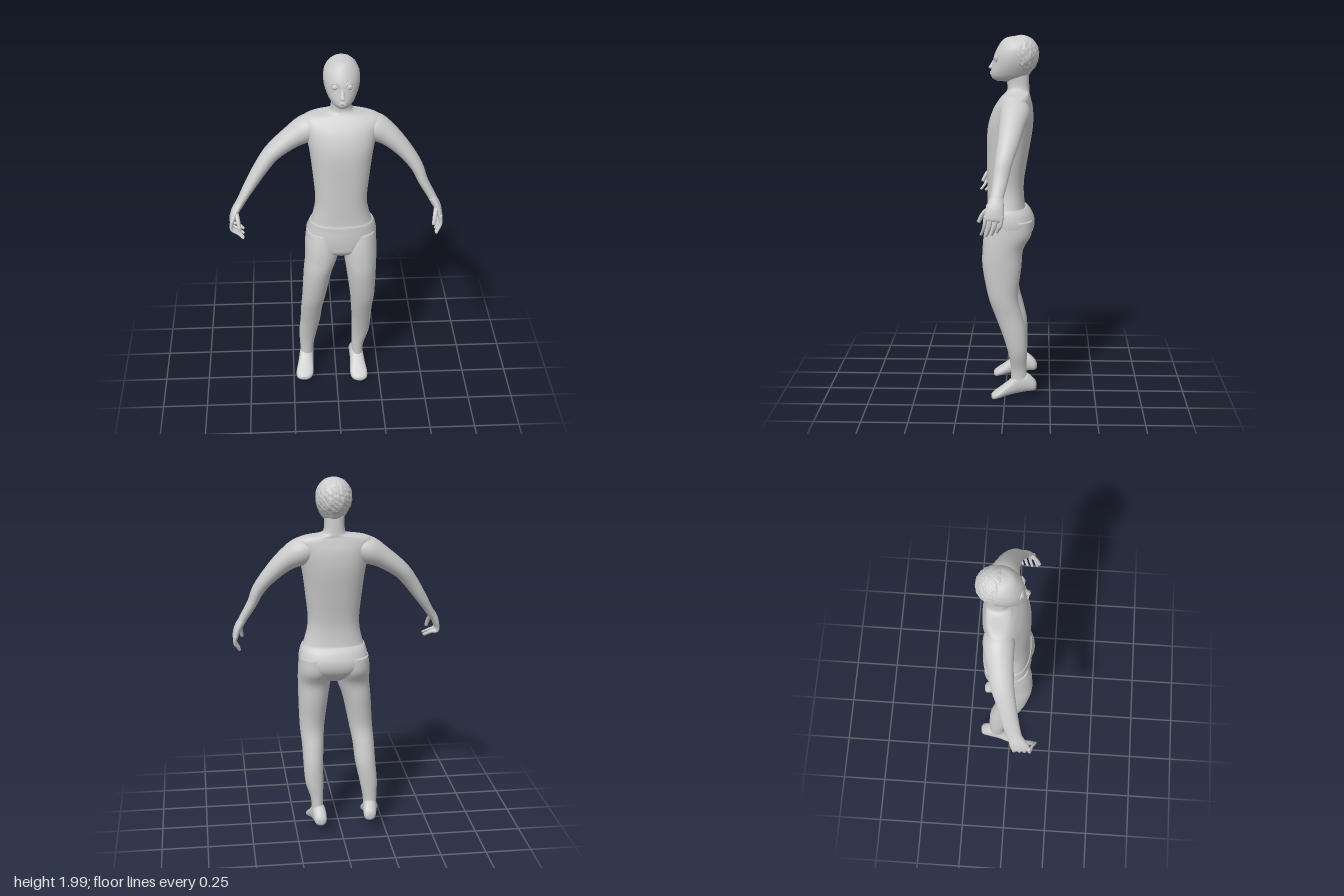
import * as THREE from 'three';

const skin = new THREE.MeshStandardMaterial({ color: 0xcccccc });
const hairMat = new THREE.MeshStandardMaterial({ color: 0xcccccc, flatShading: true });
const X = new THREE.Vector3(1, 0, 0), Y = new THREE.Vector3(0, 1, 0), Z = new THREE.Vector3(0, 0, 1);

function mesh(name, geo, mat = skin) {
  const m = new THREE.Mesh(geo, mat);
  m.name = name;
  return m;
}

// Smooth interpolation of section rows, column by column
function resample(rows, steps) {
  const out = [], last = rows.length - 1;
  for (let i = 0; i < last; i++) {
    const [p, q, r, s] = [rows[Math.max(i - 1, 0)], rows[i], rows[i + 1], rows[Math.min(i + 2, last)]];
    for (let k = 0; k < steps; k++) {
      const t = k / steps;
      out.push(q.map((v, c) => v + 0.5 * t * (r[c] - p[c] + t * (2 * p[c] - 5 * v + 4 * r[c] - s[c]
        + t * (3 * (v - r[c]) + s[c] - p[c])))));
    }
  }
  out.push(rows[last]);
  return out;
}

// Closed skin through rows [x, y, z, radius along ref, radius across]; axis fixes the section plane
function loft(rows, { ref = Z, axis = null, n = 2, sides = 28, steps = 5 } = {}) {
  const rings = resample(rows, steps), pos = [], idx = [];
  const at = (i) => new THREE.Vector3(...rings[Math.min(Math.max(i, 0), rings.length - 1)].slice(0, 3));
  const pw = (c) => Math.sign(c) * Math.abs(c) ** (2 / n);
  rings.forEach((r, i) => {
    const t = axis ? axis.clone() : at(i + 1).sub(at(i - 1)).normalize();
    const u = ref.clone().addScaledVector(t, -ref.dot(t)).normalize();
    const v = t.clone().cross(u);
    for (let j = 0; j < sides; j++) {
      const a = (j / sides) * Math.PI * 2;
      pos.push(...at(i).addScaledVector(u, r[3] * pw(Math.cos(a))).addScaledVector(v, r[4] * pw(Math.sin(a))).toArray());
    }
  });
  const end = rings.length - 1, c0 = rings.length * sides;
  pos.push(...at(0).toArray(), ...at(end).toArray());
  for (let j = 0; j < sides; j++) {
    const k = (j + 1) % sides;
    for (let i = 0; i < end; i++) {
      const a = i * sides + j, b = i * sides + k;
      idx.push(a, b, b + sides, a, b + sides, a + sides);
    }
    idx.push(c0, k, j, c0 + 1, end * sides + j, end * sides + k);
  }
  const g = new THREE.BufferGeometry();
  g.setAttribute('position', new THREE.Float32BufferAttribute(pos, 3));
  g.setIndex(idx);
  g.computeVertexNormals();
  return g;
}

// Upright body from rows [y, xMin, xMax, zBack, zFront]
const upright = (rows, opts) => loft(rows.map(([y, x0, x1, z0, z1]) =>
  [(x0 + x1) / 2, y, (z0 + z1) / 2, (z1 - z0) / 2, (x1 - x0) / 2]), { axis: Y, ...opts });

function makeHead() {
  const head = new THREE.Group();
  head.name = 'head';
  head.add(mesh('skull', upright([
    [1.757, 0.0, 0.06, -0.08, 0.045], [1.772, -0.02, 0.08, -0.11, 0.07], [1.8, -0.04, 0.1, -0.135, 0.077],
    [1.85, -0.06, 0.12, -0.16, 0.067], [1.9, -0.065, 0.125, -0.168, 0.056], [1.945, -0.054, 0.114, -0.16, 0.034],
    [1.98, -0.02, 0.08, -0.12, 0.005], [1.993, 0.02, 0.04, -0.07, -0.04]])));
  // Eyes with raised lids
  for (const x of [-0.008, 0.066]) {
    const ball = mesh('eye', new THREE.SphereGeometry(0.018, 20, 14));
    ball.position.set(x, 1.88, 0.043);
    const lid = mesh('eyelid', new THREE.TorusGeometry(0.021, 0.005, 8, 28));
    lid.position.set(x, 1.88, 0.049);
    lid.rotation.y = x < 0.03 ? -0.3 : 0.3;
    head.add(ball, lid);
  }
  head.add(mesh('nose', loft([[0.029, 1.875, 0.055, 0.006, 0.007], [0.029, 1.845, 0.068, 0.011, 0.01],
    [0.029, 1.828, 0.076, 0.013, 0.015], [0.029, 1.82, 0.073, 0.006, 0.008]], { axis: Y.clone().negate(), sides: 14 })));
  for (const y of [1.803, 1.795]) {
    const lip = mesh('lip', new THREE.SphereGeometry(1, 16, 8));
    lip.scale.set(0.019, 0.005, 0.008);
    lip.position.set(0.029, y, 0.075);
    head.add(lip);
  }
  // Hair: cap roughened into downward strands
  const hair = new THREE.SphereGeometry(1, 44, 24), p = hair.attributes.position;
  for (let i = 0; i < p.count; i++) {
    const v = new THREE.Vector3().fromBufferAttribute(p, i);
    const a = Math.atan2(v.z, v.x), fade = Math.sqrt(Math.max(0, 1 - v.y * v.y));
    v.multiplyScalar(0.985 + 0.035 * fade * Math.sin(a * 13 + 3 * Math.sin(v.y * 7)) * Math.cos(v.y * 11 + a * 4));
    p.setXYZ(i, v.x, v.y, v.z);
  }
  hair.computeVertexNormals();
  const cap = mesh('hair', hair, hairMat);
  cap.scale.set(0.096, 0.108, 0.1);
  cap.rotation.x = -0.25;
  cap.position.set(0.03, 1.893, -0.08);
  head.add(cap);
  return head;
}

// Hand: palm plus four curled fingers and a thumb; s is the outward x direction
function makeHand(name, s, wrist, knuckle, tip) {
  const hand = new THREE.Group();
  hand.name = name;
  const mid = wrist.map((w, i) => (w + knuckle[i]) / 2);
  hand.add(mesh('palm', loft([[...wrist, 0.034, 0.022], [mid[0] + s * 0.006, mid[1], mid[2], 0.045, 0.021],
    [...knuckle, 0.05, 0.016], [knuckle[0], knuckle[1] - 0.012, knuckle[2] + 0.002, 0.042, 0.008]])));
  const finger = (label, pts, r) => hand.add(mesh(label, loft(
    pts.map((q, i) => [...q, r * (1 - i * 0.12), r * (1 - i * 0.12)]), { sides: 10, steps: 4 })));
  for (let i = 0; i < 4; i++) {
    const z = knuckle[2] + (i - 1.5) * 0.027, drop = i === 0 ? 0.012 : i === 2 ? -0.006 : 0;
    finger('finger', [[knuckle[0], knuckle[1] + 0.015, z], [knuckle[0] + s * 0.004, knuckle[1] - 0.035, z + 0.006],
      [(knuckle[0] + tip[0]) / 2, tip[1] + 0.02 + drop, z + 0.016], [tip[0], tip[1] + drop, z + tip[2]]], 0.0105);
  }
  finger('thumb', [[mid[0], mid[1], mid[2] + 0.03], [mid[0] - s * 0.01, mid[1] - 0.03, mid[2] + 0.062],
    [mid[0] - s * 0.018, mid[1] - 0.075, mid[2] + 0.085]], 0.013);
  return hand;
}

// Foot from heel to toe: [z, half width, sole y, top y]
function makeFoot(name, heelX, toeX, lift) {
  const rows = [[-0.176, 0.014, 0.064, 0.09], [-0.162, 0.032, 0.05, 0.115], [-0.12, 0.038, 0.045, 0.15],
    [-0.07, 0.04, 0.036, 0.15], [-0.02, 0.044, 0.026, 0.105], [0.03, 0.05, 0.012, 0.065],
    [0.06, 0.042, 0.005, 0.043], [0.074, 0.018, 0.01, 0.03]];
  return mesh(name, loft(rows.map(([z, w, y0, y1]) => [heelX + (toeX - heelX) * (z + 0.176) / 0.25,
    (y0 + y1) / 2 + lift, z, w, (y1 - y0) / 2]), { ref: X, axis: Z, n: 2.3 }));
}

export function createModel() {
  const g = new THREE.Group();
  g.name = 'standingFigure';

  // Pelvis, waistband step, chest, shoulders and neck
  g.add(mesh('trunk', upright([
    [0.875, -0.03, 0.09, -0.07, 0.06], [0.91, -0.11, 0.16, -0.12, 0.1], [0.95, -0.155, 0.21, -0.152, 0.108],
    [1.0, -0.163, 0.22, -0.16, 0.11], [1.05, -0.152, 0.212, -0.142, 0.107], [1.078, -0.143, 0.2, -0.118, 0.105],
    [1.088, -0.135, 0.19, -0.107, 0.098], [1.2, -0.114, 0.165, -0.1, 0.098], [1.35, -0.125, 0.178, -0.122, 0.098],
    [1.5, -0.143, 0.198, -0.147, 0.095], [1.6, -0.165, 0.222, -0.149, 0.067], [1.66, -0.18, 0.24, -0.137, 0.03],
    [1.687, -0.14, 0.195, -0.13, 0.005], [1.7, -0.05, 0.11, -0.13, -0.005], [1.725, -0.027, 0.083, -0.128, -0.012],
    [1.8, -0.025, 0.08, -0.125, 0.0]], { n: 2.4, sides: 44 })));
  g.add(makeHead());

  // Arms from inside the shoulder to the wrist
  g.add(mesh('leftArm', loft([[0.12, 1.622, -0.057, 0.06, 0.05], [0.2, 1.607, -0.056, 0.08, 0.074],
    [0.285, 1.556, -0.043, 0.068, 0.058], [0.37, 1.472, -0.025, 0.056, 0.043], [0.43, 1.39, -0.005, 0.046, 0.034],
    [0.465, 1.31, 0.01, 0.04, 0.027], [0.51, 1.23, 0.025, 0.034, 0.023], [0.53, 1.19, 0.034, 0.036, 0.021]])));
  g.add(mesh('rightArm', loft([[-0.07, 1.622, -0.057, 0.06, 0.05], [-0.145, 1.606, -0.056, 0.08, 0.074],
    [-0.235, 1.558, -0.045, 0.07, 0.058], [-0.335, 1.483, -0.026, 0.06, 0.046], [-0.395, 1.41, -0.005, 0.052, 0.04],
    [-0.455, 1.32, 0.017, 0.047, 0.032], [-0.505, 1.24, 0.042, 0.04, 0.024], [-0.53, 1.2, 0.055, 0.038, 0.022]])));
  g.add(makeHand('leftHand', 1, [0.515, 1.22, 0.028], [0.557, 1.12, 0.042], [0.535, 1.033, 0.025]));
  g.add(makeHand('rightHand', -1, [-0.515, 1.225, 0.048], [-0.56, 1.14, 0.085], [-0.5, 1.065, 0.035]));

  // Legs share a side profile [y, zBack, zFront]; each has its own [centre x, half width]
  const side = [[1.02, -0.145, 0.095], [0.94, -0.143, 0.113], [0.86, -0.1, 0.12], [0.76, -0.09, 0.12],
    [0.6, -0.072, 0.09], [0.49, -0.095, 0.052], [0.39, -0.117, 0.015], [0.28, -0.122, -0.018],
    [0.18, -0.12, -0.034], [0.1, -0.125, -0.035]];
  const legs = {
    left: [[0.125, 0.092], [0.128, 0.094], [0.132, 0.09], [0.138, 0.082], [0.146, 0.069], [0.145, 0.06],
      [0.146, 0.055], [0.142, 0.05], [0.129, 0.034], [0.128, 0.032]],
    right: [[-0.07, 0.092], [-0.077, 0.095], [-0.083, 0.09], [-0.105, 0.078], [-0.126, 0.066], [-0.14, 0.06],
      [-0.147, 0.057], [-0.162, 0.05], [-0.17, 0.039], [-0.17, 0.036]],
  };
  for (const [key, xs] of Object.entries(legs)) {
    g.add(mesh(key + 'Leg', loft(side.map(([y, z0, z1], i) =>
      [xs[i][0], y, (z0 + z1) / 2, (z1 - z0) / 2, xs[i][1]]), { axis: Y.clone().negate(), n: 2.15 })));
  }
  g.add(makeFoot('leftFoot', 0.115, 0.135, 0));
  g.add(makeFoot('rightFoot', -0.16, -0.19, 0.018));
  return g;
}
